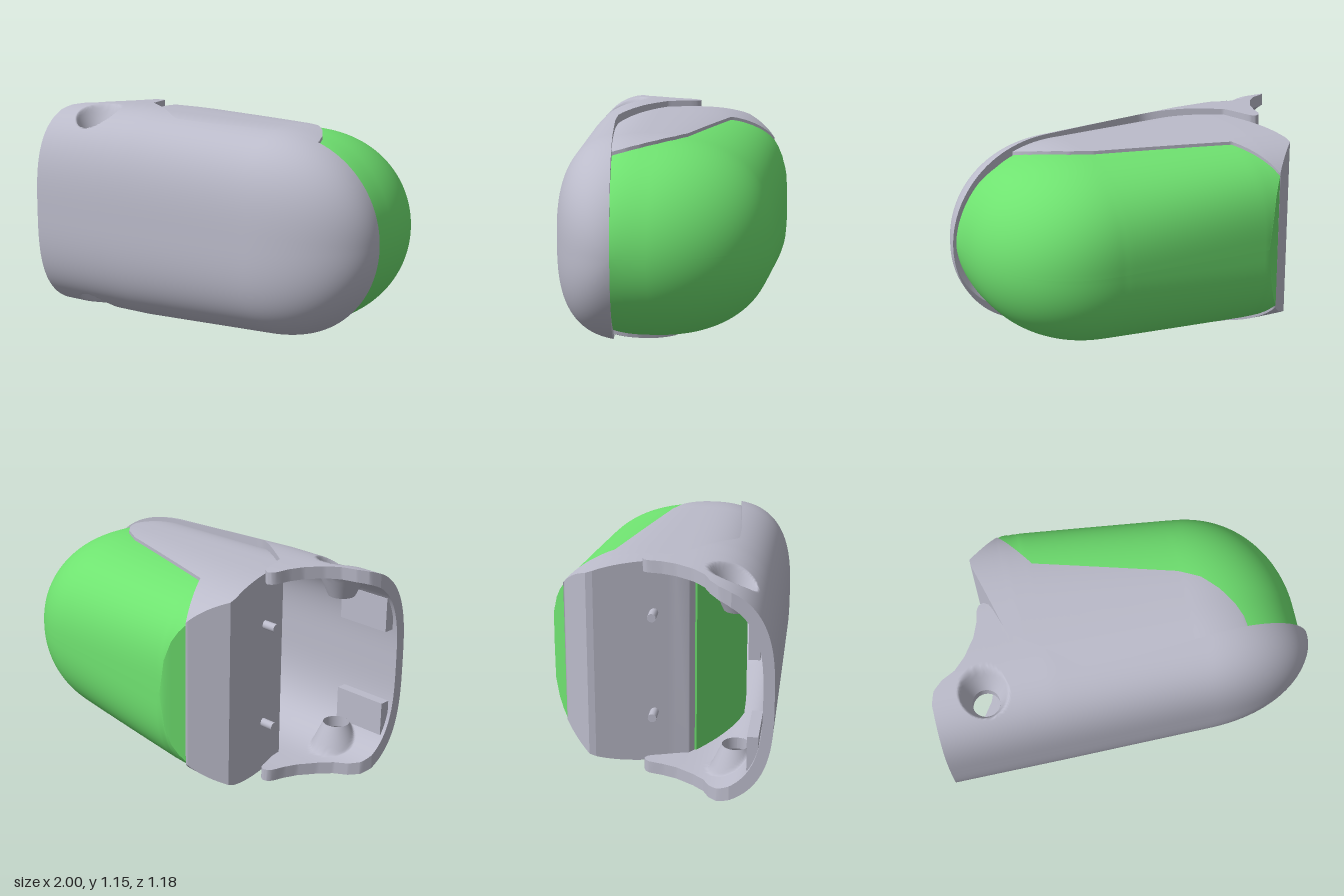
import * as THREE from 'three';
import { mergeGeometries } from 'three/addons/utils/BufferGeometryUtils.js';

const clamp = THREE.MathUtils.clamp;
const HOLE = { x: -0.74, z: 0.39, r: 0.07, R: 0.145, floor: 0.42, slope: 2.2 };

// piecewise linear curve through [x, value] points
function along(points) {
  return (x) => {
    if (x <= points[0][0]) return points[0][1];
    for (let i = 1; i < points.length; i++) {
      const [x0, v0] = points[i - 1], [x1, v1] = points[i];
      if (x <= x1) return v0 + ((v1 - v0) * (x - x0)) / (x1 - x0);
    }
    return points[points.length - 1][1];
  };
}

// plan-view edges of the parts
const coverEdge = along([[-1, 0.38], [-0.98, 0.32], [-0.93, 0.275], [-0.86, 0.24], [-0.8, 0.18], [-0.74, 0.09],
  [-0.71, 0.01], [-0.7, -0.05], [-0.685, -0.075], [-0.66, -0.085], [-0.635, -0.07], [-0.62, -0.04],
  [-0.57, 0.1], [-0.25, 0.32], [-0.2, 0.345], [0, 0.338], [0.63, 0.28], [1, 0.25]]);
const padEdge = along([[-0.69, -0.365], [-0.53, -0.51], [-0.38, -0.27], [0.34, -0.075], [0.45, -0.02],
  [0.53, 0.06], [0.59, 0.15], [0.62, 0.22], [0.63, 0.28]]);
const bodyFront = along([[-0.69, -0.33], [-0.57, 0.1]]);
const padChamfer = along([[-0.53, -0.51], [-0.44, -0.59]]);
// heights and depth along the length
const coverHeight = along([[-0.4, 0.575], [0.4, 0.54], [1, 0.51]]);
const padHeight = along([[-0.5, 0.525], [0.35, 0.508]]);
const padDepth = along([[-0.69, -0.61], [-0.44, -0.59], [0.4, -0.525]]);
const padRoundness = along([[-0.4, 3], [0.965, 2]]);

// rounding towards the tip: 1 before x0, 0 at x1
function tip(x, x0, x1) {
  const t = clamp((x - x0) / (x1 - x0), 0, 1);
  return [Math.sqrt(1 - Math.pow(t, 2.3)), t];
}

// cross-sections: middle z, front and back half depth, half height, front and back roundness
function coverSection(x, scale = 1) {
  const [f, t] = tip(x, 0.4, 1);
  const zm = 0.1 + 0.15 * t;
  const front = 0.25 + (0.342 - 0.01 * (clamp(x, -1, 0.4) + 1)) * f;
  const n = 3 - 0.6 * t;
  return { zm, af: Math.max(1e-4, (front - zm) * scale), ab: 0.64, b: coverHeight(x) * f * scale, nf: n, nb: n };
}
function padSection(x, grow = 0) {
  const [f] = tip(x, 0.35, 0.965);
  const zm = 0.08;
  return {
    zm, af: 0.22 + 0.2 * f + grow, ab: Math.max(1e-4, (zm - padDepth(x)) * f),
    b: padHeight(x) * f + grow, nf: 3, nb: padRoundness(x),
  };
}
const ratio = (s, z) => clamp((z - s.zm) / (z > s.zm ? s.af : s.ab), -1, 1);
function height(s, z) {
  const n = z > s.zm ? s.nf : s.nb;
  return s.b * Math.pow(1 - Math.pow(Math.abs(ratio(s, z)), n), 1 / n);
}
function angle(s, z) {
  const c = ratio(s, z);
  return Math.acos(Math.sign(c) * Math.pow(Math.abs(c), (c > 0 ? s.nf : s.nb) / 2));
}
// height and depth of the section at an angle measured from the front
function outline(s, th) {
  const c = Math.cos(th), n = c > 0 ? s.nf : s.nb;
  const z = s.zm + (c > 0 ? s.af : s.ab) * Math.sign(c) * Math.pow(Math.abs(c), 2 / n);
  return [s.b * Math.pow(Math.abs(Math.sin(th)), 2 / n), z];
}

// grid surface from a point function; keep() can drop cells
function sheet(fn, nu, nv, flip = false, keep = null) {
  const pos = [], idx = [];
  for (let i = 0; i <= nu; i++) for (let j = 0; j <= nv; j++) pos.push(...fn(i / nu, j / nv));
  for (let i = 0; i < nu; i++) {
    for (let j = 0; j < nv; j++) {
      const a = i * (nv + 1) + j, b = a + 1, c = a + nv + 1, d = c + 1;
      if (keep && !keep([a, b, c, d].map((k) => [pos[3 * k], pos[3 * k + 2]]))) continue;
      if (flip) idx.push(a, c, b, b, c, d);
      else idx.push(a, b, c, b, d, c);
    }
  }
  const g = new THREE.BufferGeometry();
  g.setAttribute('position', new THREE.Float32BufferAttribute(pos, 3));
  g.setIndex(idx);
  g.computeVertexNormals();
  return g;
}

// closed solid between two plan edges, rounded above and below
function slab(xAt, section, lo, hi, nu, nv) {
  const point = (u, v, side) => {
    const x = xAt(u), s = section(x);
    const t0 = angle(s, lo(x)), t1 = angle(s, Math.max(lo(x), hi(x)));
    const [y, z] = outline(s, t0 + (t1 - t0) * v);
    return [x, side * y, z];
  };
  const wall = (u, v, k) => point(u, v, 2 * k - 1);
  return mergeGeometries([
    sheet((u, v) => point(u, v, 1), nu, nv),
    sheet((u, v) => point(u, v, -1), nu, nv, true),
    sheet((u, k) => wall(u, 0, k), nu, 1),
    sheet((u, k) => wall(u, 1, k), nu, 1, true),
    sheet((v, k) => wall(0, v, k), nv, 1, true),
    sheet((v, k) => wall(1, v, k), nv, 1),
  ]);
}

// front cover: curved shell with two eared sides and dished through holes
const coverX = (u) => {
  const w = (u - 0.4) / 0.6;
  return u < 0.4 ? -1 + (0.45 * u) / 0.4 : -0.55 + 1.55 * (1 - (1 - w) ** 2);
};
function coverPoint(u, v, scale) {
  let x = coverX(u);
  const side = 2 * v - 1, s = coverSection(x, scale);
  let [y, z] = outline(s, Math.abs(side) * angle(s, coverEdge(x)));
  const d = Math.hypot(x - HOLE.x, z - HOLE.z);
  if (d < HOLE.R) {
    if (d < HOLE.r) {
      const k = HOLE.r / Math.max(d, 1e-4);
      x = HOLE.x + (x - HOLE.x) * k;
      z = HOLE.z + (z - HOLE.z) * k;
    }
    y = dished(x, z, scale);
  }
  return [x, Math.sign(side) * y, z];
}
// cone sunk into the side, deeper by the wall thickness on the inside
function dished(x, z, scale) {
  const d = Math.max(HOLE.r, Math.hypot(x - HOLE.x, z - HOLE.z));
  const cone = HOLE.floor - (1 - scale) * 0.55 + (d - HOLE.r) * HOLE.slope;
  return Math.min(height(coverSection(x, scale), z), cone);
}
function coverGeometry() {
  const inner = 0.89, nu = 160, nv = 96;
  const keep = (c) => c.some(([x, z]) => Math.hypot(x - HOLE.x, z - HOLE.z) > HOLE.r + 1e-4);
  const scale = (k) => (k < 0.5 ? 1 : inner);
  const bore = (side) => sheet((u, k) => {
    const a = u * Math.PI * 2;
    const x = HOLE.x + HOLE.r * Math.cos(a), z = HOLE.z + HOLE.r * Math.sin(a);
    return [x, side * dished(x, z, scale(k)), z];
  }, 40, 1, side < 0);
  return mergeGeometries([
    sheet((u, v) => coverPoint(u, v, 1), nu, nv, true, keep),
    sheet((u, v) => coverPoint(u, v, inner), nu, nv, false, keep),
    sheet((u, k) => coverPoint(u, 0, scale(k)), nu, 1),
    sheet((u, k) => coverPoint(u, 1, scale(k)), nu, 1, true),
    sheet((v, k) => coverPoint(0, v, scale(k)), nv, 1),
    bore(1), bore(-1),
  ]);
}

export function createModel() {
  const grey = new THREE.MeshStandardMaterial({ color: 0xbbbbca, side: THREE.DoubleSide });
  grey.name = 'grey shell';
  const green = new THREE.MeshStandardMaterial({ color: 0x6fe270, side: THREE.DoubleSide });
  green.name = 'green pad';
  const group = new THREE.Group();
  group.name = 'fingertip';
  const add = (name, geometry, material, x = 0, y = 0, z = 0) => {
    const mesh = new THREE.Mesh(geometry, material);
    mesh.name = name;
    mesh.position.set(x, y + 0.575, z);
    group.add(mesh);
    return mesh;
  };

  add('frontCover', coverGeometry(), grey);

  // grey middle body with its slanted end wall
  add('middleBody', slab((u) => -0.69 + 1.32 * u, (x) => padSection(x, 0.018), padEdge,
    (x) => (x < -0.57 ? bodyFront(x) : coverEdge(x) + 0.03), 132, 24), grey);

  // green grip pad wrapping the back and the tip
  add('gripPad', slab((u) => -0.53 + 1.495 * (1 - (1 - u) ** 2), (x) => padSection(x),
    (x) => (x < -0.44 ? padChamfer(x) : -1), (x) => coverEdge(x) + 0.04, 110, 56), green);

  // stiffening pads and pins in the hollow end
  for (const side of [1, -1]) {
    add('innerPad', new THREE.BoxGeometry(0.3, 0.18, 0.055), grey, -0.83, side * 0.29, 0.49);
    const pin = add('hingePin', new THREE.CylinderGeometry(0.022, 0.022, 0.1, 16), grey, -0.64, side * 0.27, -0.04);
    pin.rotation.z = Math.PI / 2;
  }
  return group;
}
